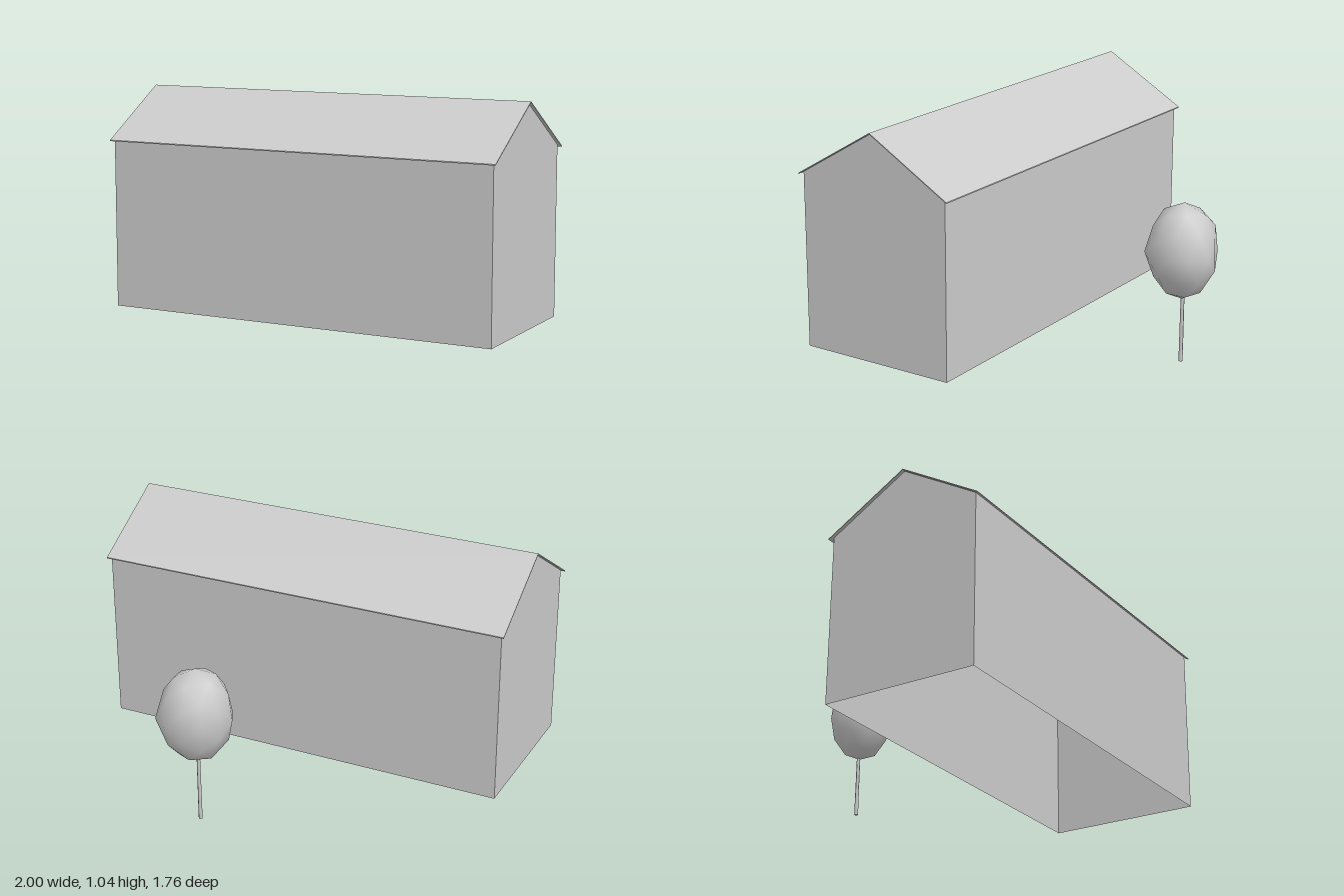
import * as THREE from 'three';
import { mergeVertices } from 'three/addons/utils/BufferGeometryUtils.js';

const grey = new THREE.MeshStandardMaterial({ color: 0xcccccc });
const greyOpen = new THREE.MeshStandardMaterial({ color: 0xcccccc, side: THREE.DoubleSide });

const wall = { length: 1.892, width: 0.734, base: 0.027, top: 0.813, apex: 1.032 };

function part(name, geometry, material = grey) {
  const mesh = new THREE.Mesh(geometry, material);
  mesh.name = name;
  return mesh;
}

function outline(points) {
  return new THREE.Shape(points.map(([x, y]) => new THREE.Vector2(x, y)));
}

// House in local space: ridge along x, open underneath, walls are single sheets
function createHouse() {
  const house = new THREE.Group();
  house.name = 'house';
  const { length, width, base, top, apex } = wall;
  const w = width / 2;
  const gable = outline([[-w, base], [w, base], [w, top], [0, apex], [-w, top]]);

  for (const side of [1, -1]) {
    const gableWall = part('gableWall', new THREE.ShapeGeometry(gable), greyOpen);
    gableWall.rotation.y = side * Math.PI / 2;
    gableWall.position.x = side * length / 2;

    const longWall = part('longWall', new THREE.PlaneGeometry(length, top - base), greyOpen);
    longWall.rotation.y = side > 0 ? 0 : Math.PI;
    longWall.position.set(0, (base + top) / 2, side * w);
    house.add(gableWall, longWall);
  }

  // Thin gabled roof with a slight overhang all round
  const profile = outline(
    [[-0.384, 0.803], [0, 1.032], [0.384, 0.803], [0.384, 0.808], [0, 1.037], [-0.384, 0.808]]);
  const roof = new THREE.ExtrudeGeometry(profile, { depth: 1.922, bevelEnabled: false })
    .translate(0, 0, -0.961)
    .rotateY(Math.PI / 2);
  house.add(part('roof', roof));
  house.rotation.y = -0.641;
  return house;
}

// Coarse lumpy egg: narrower towards the bottom, fuller towards +x and +z
function crownGeometry() {
  let geometry = new THREE.IcosahedronGeometry(1, 1);
  geometry.deleteAttribute('normal');
  geometry.deleteAttribute('uv');
  geometry = mergeVertices(geometry, 1e-4);
  const pos = geometry.attributes.position;
  const v = new THREE.Vector3();
  for (let i = 0; i < pos.count; i++) {
    v.fromBufferAttribute(pos, i);
    const lump = 1 + 0.04 * v.x ** 3 + 0.04 * v.z ** 3 + 0.04 * Math.sin(7 * v.x + 5 * v.y + 9 * v.z);
    const taper = v.y < 0 ? 1 + 0.1 * v.y : 1;
    pos.setXYZ(i, v.x * 0.161 * lump * taper, v.y * 0.213, v.z * 0.155 * lump * taper);
  }
  geometry.computeVertexNormals();
  return geometry;
}

function createTree() {
  const tree = new THREE.Group();
  tree.name = 'tree';
  const trunk = part('trunk', new THREE.CylinderGeometry(0.008, 0.009, 0.32, 6));
  trunk.position.set(0, 0.16, -0.004);
  const crown = part('crown', crownGeometry());
  crown.position.y = 0.497;
  tree.add(trunk, crown);
  tree.position.set(0.718, 0, -0.729);
  return tree;
}

export function createModel() {
  const model = new THREE.Group();
  model.name = 'houseWithTree';
  model.add(createHouse(), createTree());
  return model;
}
